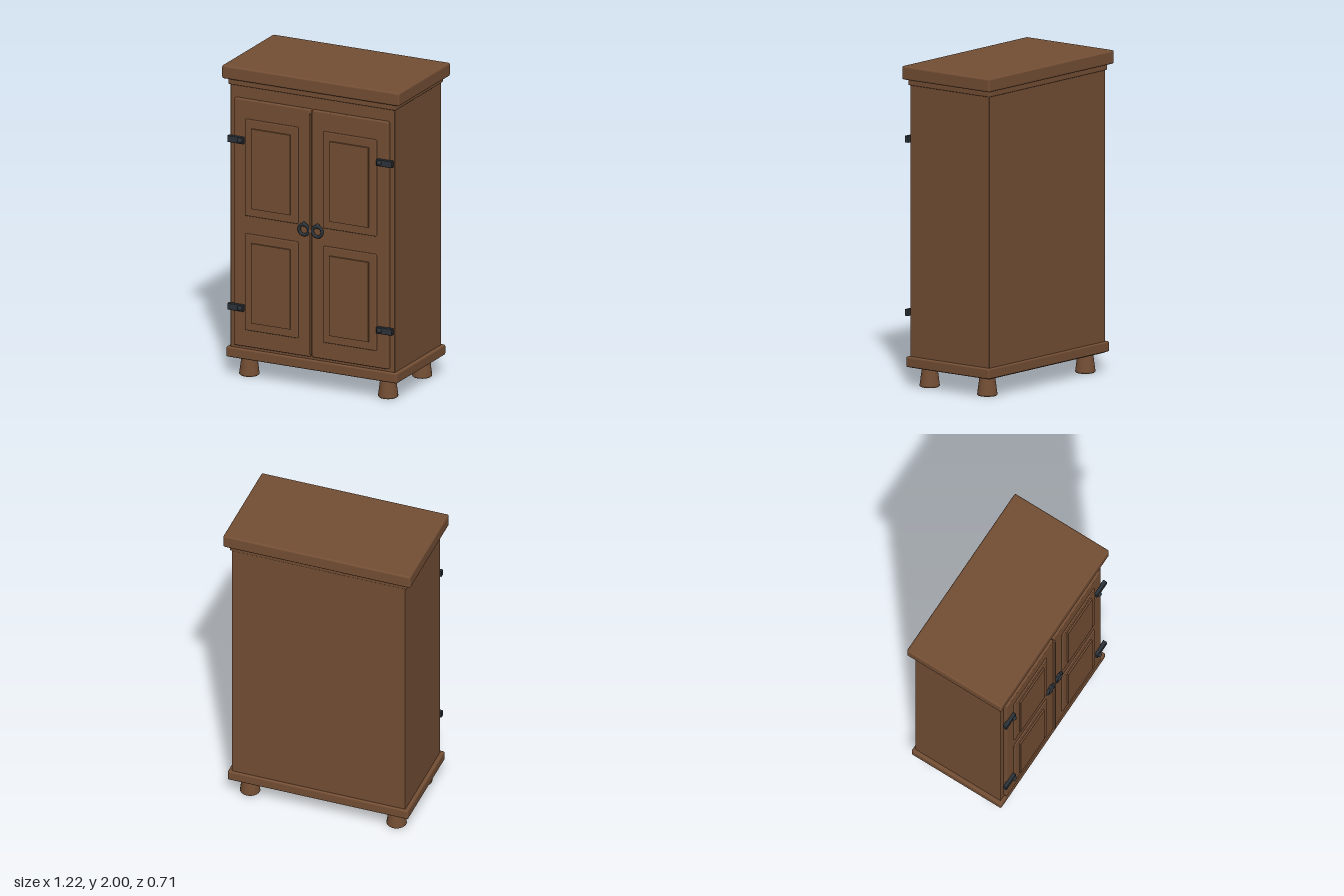
import * as THREE from 'three';
import { RoundedBoxGeometry } from 'three/addons/geometries/RoundedBoxGeometry.js';

export function createModel() {
  const wood = new THREE.MeshStandardMaterial({ color: 0x734e34 });
  wood.name = 'brown wood';
  const iron = new THREE.MeshStandardMaterial({ color: 0x2b3238 });
  iron.name = 'dark iron';

  const model = new THREE.Group();
  model.name = 'cupboard';

  const add = (name, geometry, material, x, y, z) => {
    const mesh = new THREE.Mesh(geometry, material);
    mesh.name = name;
    mesh.position.set(x, y, z);
    model.add(mesh);
    return mesh;
  };

  // Box given by its limits, with edges softened when r > 0
  const block = (name, material, [x0, x1], [y0, y1], [z0, z1], r = 0) => {
    const size = [x1 - x0, y1 - y0, z1 - z0];
    const geometry = r > 0 ? new RoundedBoxGeometry(...size, 2, r) : new THREE.BoxGeometry(...size);
    return add(name, geometry, material, (x0 + x1) / 2, (y0 + y1) / 2, (z0 + z1) / 2);
  };

  // Carcass, plinth and cornice
  block('body', wood, [-0.565, 0.565], [0.12, 1.89], [-0.325, 0.295], 0.004);
  block('plinth', wood, [-0.588, 0.588], [0.125, 0.19], [-0.34, 0.313], 0.01);
  block('corniceMoulding', wood, [-0.575, 0.575], [1.877, 1.92], [-0.333, 0.307], 0.008);
  block('topBoard', wood, [-0.61, 0.61], [1.915, 2], [-0.36, 0.328], 0.012);

  // Strip covering the gap between the doors
  block('doorStrip', wood, [-0.006, 0.006], [0.23, 1.775], [0.29, 0.331]);

  // Flared feet with a softened lower rim
  const footProfile = [[0, 0], [0.056, 0], [0.062, 0.006], [0.062, 0.012], [0.047, 0.125], [0, 0.125]];
  const footGeometry = new THREE.LatheGeometry(
    footProfile.flatMap(([r, y], i) => {
      const p = new THREE.Vector2(r, y);
      return i === 1 || i === 4 ? [p, p.clone()] : [p];
    }), 24);

  for (const side of [-1, 1]) {
    const label = side > 0 ? 'left' : 'right';
    const span = (a, b) => (side > 0 ? [a, b] : [-b, -a]);

    for (const [end, z] of [['Front', 0.214], ['Back', -0.238]]) {
      add(label + end + 'Foot', footGeometry, wood, side * 0.477, 0, z);
    }

    // Door with two stepped, raised panels
    block(label + 'Door', wood, span(0.004, 0.53), [0.21, 1.8], [0.285, 0.317], 0.008);
    for (const [row, y0, y1] of [['Lower', 0.32, 0.94], ['Upper', 1.055, 1.677]]) {
      block(label + row + 'Panel', wood, span(0.087, 0.452), [y0, y1], [0.3, 0.327], 0.007);
      block(label + row + 'PanelField', wood, span(0.135, 0.403), [y0 + 0.054, y1 - 0.054], [0.315, 0.338]);
    }

    // Strap hinges, each with a rivet
    for (const y of [0.459, 1.537]) {
      block(label + 'Hinge', iron, span(0.457, 0.566), [y - 0.021, y + 0.021], [0.312, 0.338], 0.003);
      add(label + 'HingeRivet', new THREE.SphereGeometry(0.016, 16, 12), iron, side * 0.479, y, 0.338);
    }

    // Ring pull hanging from a small knob
    add(label + 'RingPull', new THREE.TorusGeometry(0.033, 0.01, 10, 28), iron, side * 0.046, 1.026, 0.323);
    add(label + 'RingKnob', new THREE.SphereGeometry(0.016, 16, 12), iron, side * 0.046, 1.06, 0.318);
  }

  return model;
}
